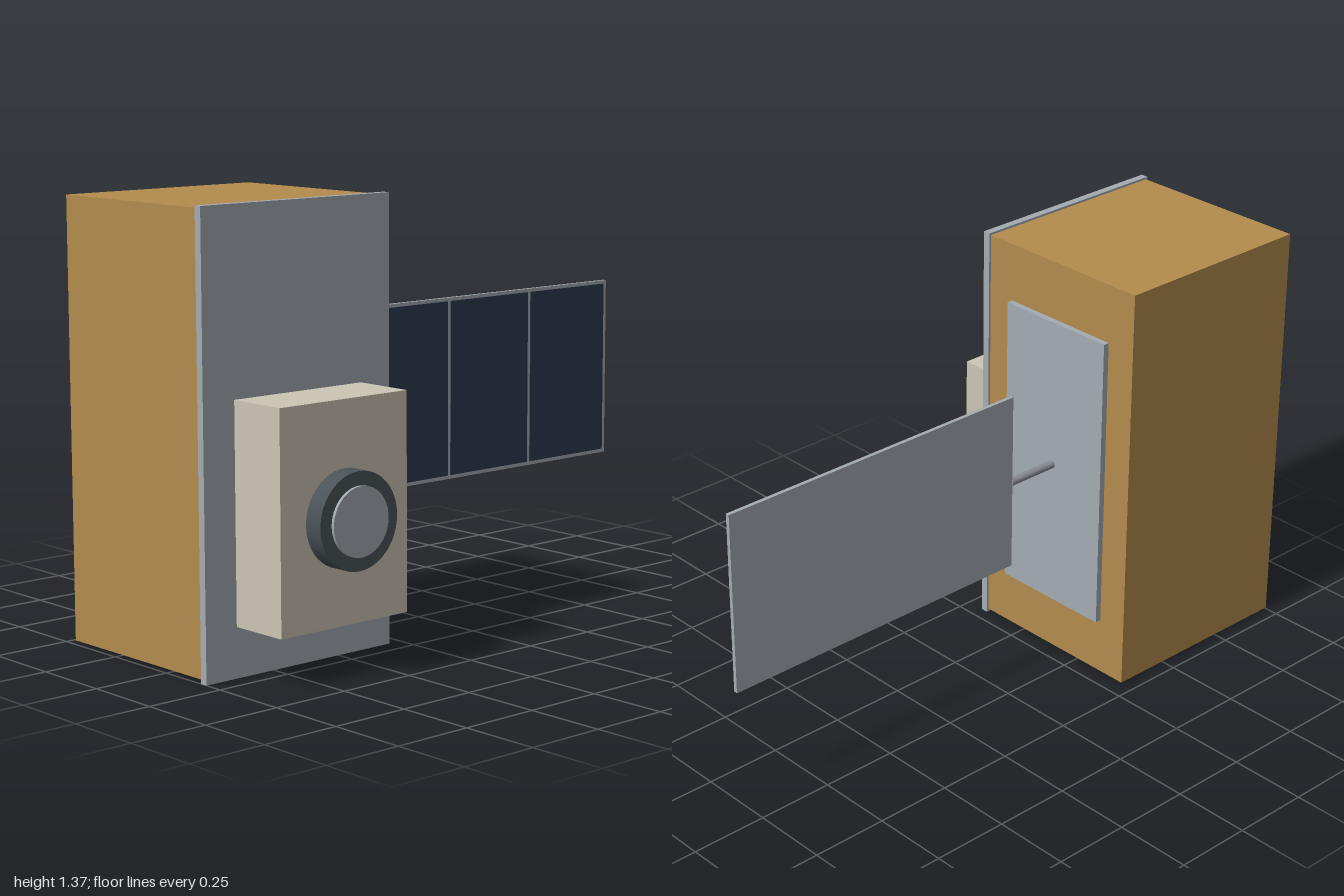
import * as THREE from 'three';

const material = (name, color) => {
  const m = new THREE.MeshStandardMaterial({ color });
  m.name = name;
  return m;
};

export function createModel() {
  const group = new THREE.Group();
  const foil = material('gold foil', 0xb38b4d);
  const grey = material('light grey', 0xa3abb2);
  const cream = material('cream', 0xcbc5b4);
  const dark = material('dark grey', 0x4a5357);
  const navy = material('navy cell', 0x2c3b4f);
  const steel = material('steel', 0x8a8d94);

  const add = (name, geometry, mat, x, y, z) => {
    const mesh = new THREE.Mesh(geometry, mat);
    mesh.name = name;
    mesh.position.set(x, y, z);
    group.add(mesh);
    return mesh;
  };
  // Box given by its limits on each axis
  const box = (name, mat, [x0, x1], [y0, y1], [z0, z1]) =>
    add(name, new THREE.BoxGeometry(x1 - x0, y1 - y0, z1 - z0), mat,
      (x0 + x1) / 2, (y0 + y1) / 2, (z0 + z1) / 2);

  // Body with front and side plates
  box('body', foil, [-0.993, -0.3], [0.01, 1.365], [-0.46, 0.163]);
  box('frontPlate', grey, [-1, -0.293], [0, 1.372], [0.163, 0.188]);
  box('sidePlate', grey, [-0.3, -0.28], [0.198, 1.175], [-0.358, 0.064]);

  // Instrument box and its lens
  box('instrumentBox', cream, [-0.887, -0.406], [0.153, 0.815], [0.188, 0.388]);
  const disc = (name, mat, r, z0, z1) => {
    const g = new THREE.CylinderGeometry(r, r, z1 - z0, 48).rotateX(Math.PI / 2);
    add(name, g, mat, -0.647, 0.469, (z0 + z1) / 2);
  };
  disc('lensBarrel', dark, 0.146, 0.388, 0.45);
  disc('lens', grey, 0.104, 0.45, 0.46);

  // Boom and solar panel
  const z = -0.145;
  add('boom', new THREE.CylinderGeometry(0.013, 0.013, 0.18, 16).rotateZ(Math.PI / 2),
    steel, -0.19, 0.686, z);
  box('solarPanel', grey, [-0.102, 1], [0.39, 0.983], [z - 0.007, z + 0.006]);
  for (let i = 0; i < 3; i++) {
    const x = -0.094 + i * 0.3645;
    box('solarCell' + (i + 1), navy, [x, x + 0.352], [0.402, 0.972], [z + 0.006, z + 0.008]);
  }
  return group;
}
